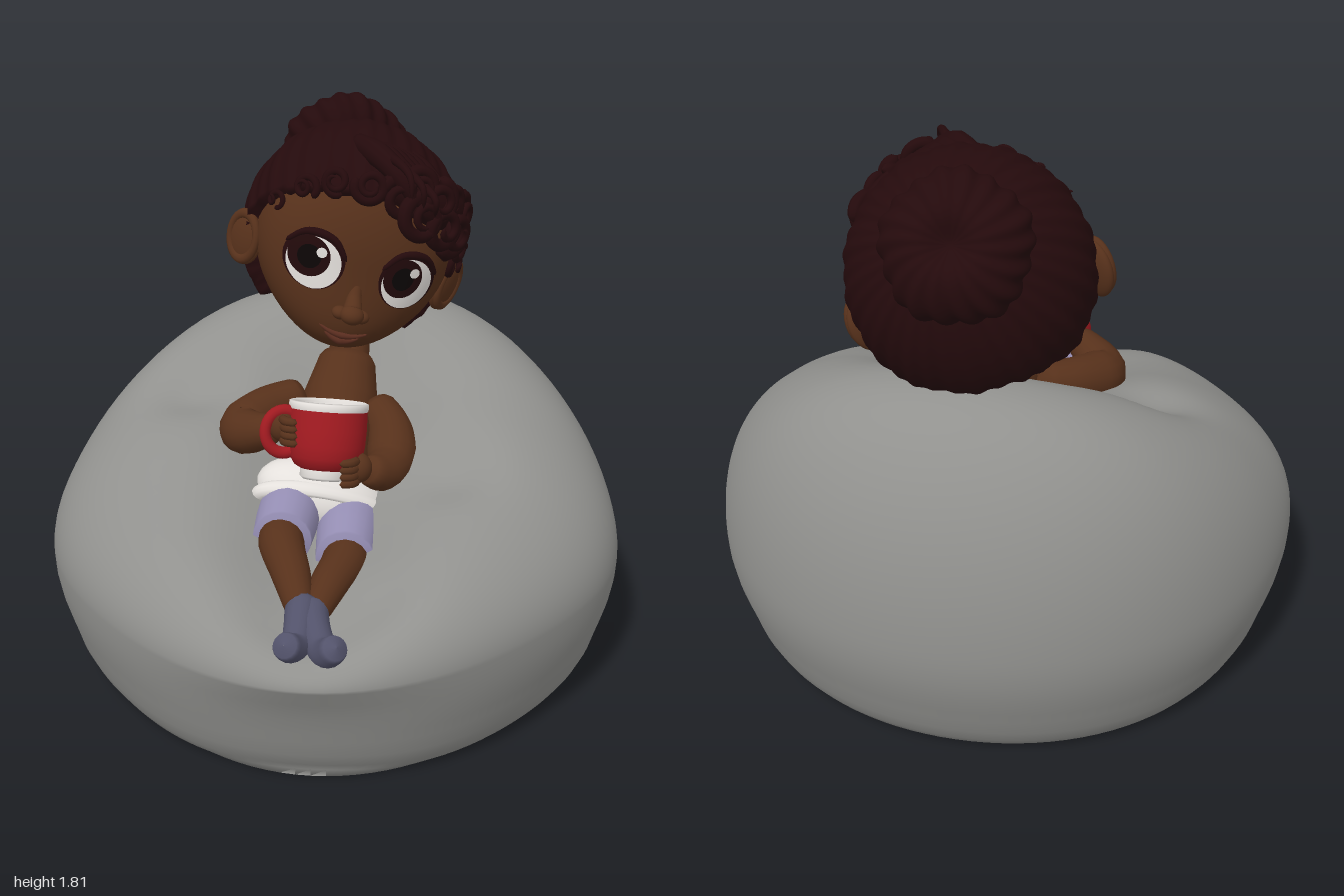
import * as THREE from 'three';
import { mergeVertices } from 'three/addons/utils/BufferGeometryUtils.js';

const mat = (name, color, side = THREE.FrontSide) => {
  const m = new THREE.MeshStandardMaterial({ color, side });
  m.name = name;
  return m;
};
const V = (x, y, z) => new THREE.Vector3(x, y, z);
const { lerp, smoothstep } = THREE.MathUtils;

// Piecewise linear lookup in a list of [position, value]
function lookup(table, t) {
  for (let i = 1; i < table.length; i++) {
    const [a, va] = table[i - 1], [b, vb] = table[i];
    if (t <= b) return lerp(va, vb, Math.max(0, (t - a) / (b - a)));
  }
  return table[table.length - 1][1];
}

// Move every vertex by a rule, then weld and smooth
function reshape(geo, rule) {
  geo.deleteAttribute('uv');
  geo.deleteAttribute('normal');
  const p = geo.attributes.position, v = V(0, 0, 0);
  for (let i = 0; i < p.count; i++) {
    v.fromBufferAttribute(p, i);
    rule(v);
    p.setXYZ(i, v.x, v.y, v.z);
  }
  const g = mergeVertices(geo, 1e-5);
  g.computeVertexNormals();
  return g;
}

function add(parent, name, geo, material, pos = [0, 0, 0], rot = [0, 0, 0], scale = [1, 1, 1]) {
  const m = new THREE.Mesh(geo, material);
  m.name = name;
  m.position.set(...pos);
  m.rotation.set(...rot);
  m.scale.set(...scale);
  parent.add(m);
  return m;
}

// Tapered tube with rounded ends through a few points
function limb(points, radii, n = 24, sides = 16, round = 0.15) {
  const curve = new THREE.CatmullRomCurve3(points.map(p => V(...p)));
  const geo = new THREE.TubeGeometry(curve, n, 1, sides);
  const p = geo.attributes.position, v = V(0, 0, 0);
  const table = radii.map((r, i) => [i / (radii.length - 1), r]);
  for (let i = 0; i <= n; i++) {
    const t = i / n, c = curve.getPointAt(t);
    const e = Math.max(0, (Math.abs(2 * t - 1) - 1 + round) / round);
    const r = lookup(table, t) * Math.sqrt(Math.max(1e-4, 1 - e * e));
    for (let j = 0; j <= sides; j++) {
      const k = i * (sides + 1) + j;
      v.fromBufferAttribute(p, k).sub(c).multiplyScalar(r).add(c);
      p.setXYZ(k, v.x, v.y, v.z);
    }
  }
  return reshape(geo, () => {});
}

// Beanbag: rings around the y axis, closed below and domed above with a seat trough and dents
function beanbagGeometry() {
  const top = [[-1, 1.32], [-0.65, 1.27], [-0.45, 1.14], [-0.3, 1.08], [-0.15, 0.99], [0, 0.92], [0.4, 0.8], [0.65, 0.78], [1, 0.72]];
  const dents = [[-0.5, -0.13, 0.08, 0.15], [0.4, 0.22, 0.06, 0.14], [0.22, 0.74, 0.03, 0.1]];
  const wall = [[0, 0.006], [0.5, 0.006], [0.85, 0.01], [0.885, 0.026], [0.91, 0.06], [0.935, 0.11], [0.953, 0.17],
    [0.966, 0.21], [0.984, 0.27], [0.997, 0.34]];
  const mid = 0.4, domeRings = 44, n = 112, pos = [], idx = [];
  const total = wall.length + domeRings + 1;
  for (let i = 0; i < total; i++) {
    for (let j = 0; j < n; j++) {
      const a = (j / n) * Math.PI * 2, near = Math.min(a, Math.PI * 2 - a);
      const diag = Math.sin(2 * a) ** 2;
      const R = 0.985 + 0.015 * Math.cos(2 * a) + (Math.cos(a) > 0 ? -0.055 : 0.015) * diag;
      let s, y;
      if (i < wall.length) {
        [s, y] = wall[i];
        if (i > 2) s -= 0.045 * Math.exp(-((near / 0.4) ** 2)) * (1 - smoothstep(y, 0.3, 0.4));
      } else {
        s = Math.cos(((i - wall.length) / domeRings) * Math.PI / 2);
        const x = R * s * Math.sin(a), z = R * s * Math.cos(a);
        let h = 0;
        for (let k = -2; k <= 2; k++) h += lookup(top, z + k * 0.06) / 5;
        const width = 0.31 - 0.08 * smoothstep(z, 0.5, 0.95);
        h -= 0.23 * Math.exp(-((x / width) ** 2)) * smoothstep(z, -0.5, -0.1) * (1 - 0.3 * smoothstep(z, 0.8, 1));
        for (const [dx, dz, depth, r] of dents) h -= depth * Math.exp(-((x - dx) ** 2 + (z - dz) ** 2) / (r * r));
        y = mid + (h - mid) * Math.sqrt(Math.max(0, 1 - s ** 2.85));
      }
      pos.push(R * s * Math.sin(a), y, R * s * Math.cos(a));
      if (i < total - 1) {
        const b = i * n + j, c = i * n + (j + 1) % n;
        idx.push(b, c, c + n, b, c + n, b + n);
      }
    }
  }
  const g = new THREE.BufferGeometry();
  g.setAttribute('position', new THREE.Float32BufferAttribute(pos, 3));
  g.setIndex(idx);
  g.computeVertexNormals();
  return g;
}

// Skull rule: flat face and full jaw
const jaw = y => 1 - 0.14 * Math.min(y, 0) ** 2;
const faceDepth = (y, z) => 0.33 * z ** 0.7 * (1 + 0.48 * Math.min(y, 0) ** 2);
function faceZ(X, Y) {
  const y = Y / 0.36, x = X / (0.34 * jaw(y));
  return faceDepth(y, Math.sqrt(Math.max(0, 1 - x * x - y * y)));
}
// Thin oval laid on the face
const facePatch = (cx, cy, rx, ry, lift) => reshape(new THREE.RingGeometry(0.001, 1, 32, 6), v => {
  v.x = cx + v.x * rx;
  v.y = cy + v.y * ry;
  v.z = faceZ(v.x, v.y) + lift;
});

export function createModel() {
  const root = new THREE.Group();
  root.name = 'childOnBeanbag';
  const gray = mat('beanbagGray', 0x91918e), skin = mat('skinBrown', 0x57311b), hair = mat('hairDark', 0x240a0c);
  const red = mat('mugRed', 0xa01a20, THREE.DoubleSide), white = mat('white', 0xe4e0dc, THREE.DoubleSide);
  const lavender = mat('shortsLavender', 0x9790b6), sock = mat('sockSlate', 0x52526a);
  const iris = mat('irisAndCocoa', 0x220a0b), black = mat('pupilBlack', 0x0c0606), lip = mat('lipBrown', 0x5c2e20);
  const ball = new THREE.SphereGeometry(1, 32, 24);

  add(root, 'beanbag', beanbagGeometry(), gray);

  // Body
  const body = new THREE.Group();
  body.name = 'body';
  root.add(body);
  add(body, 'torso', limb([[0.03, 1.0, -0.23], [0.01, 0.86, -0.11], [0, 0.75, 0.05], [-0.01, 0.65, 0.2]], [0.09, 0.13, 0.125, 0.13]), skin);
  add(body, 'neck', limb([[0.02, 0.9, -0.17], [0.03, 1.0, -0.25], [0.03, 1.14, -0.32]], [0.08, 0.068, 0.07]), skin);
  add(body, 'waistband', ball, white, [-0.025, 0.65, 0.21], [0.2, 0, -0.28], [0.22, 0.115, 0.13]);
  add(body, 'waistHem', new THREE.TorusGeometry(0.165, 0.028, 12, 40), white, [-0.025, 0.635, 0.255], [0.6, 0, -0.28], [1.2, 0.55, 1]);

  // Legs: left and right differ a little in pose
  const legs = [
    { hip: [-0.12, 0.63, 0.24], knee: [-0.125, 0.62, 0.49], ankle: [-0.035, 0.525, 0.76], heel: [-0.04, 0.475, 0.87], toe: [-0.065, 0.53, 0.95] },
    { hip: [0.07, 0.58, 0.24], knee: [0.075, 0.565, 0.5], ankle: [0.0, 0.515, 0.76], heel: [0.045, 0.475, 0.89], toe: [0.09, 0.54, 0.965] },
  ];
  legs.forEach(l => {
    const m = V(...l.hip).lerp(V(...l.knee), 0.5).toArray();
    add(body, 'shortsLeg', limb([l.hip, m, l.knee], [0.105, 0.1, 0.092], 20, 20, 0.05), lavender);
    const shin = V(...l.knee).lerp(V(...l.ankle), 0.5).add(V(0, 0.01, 0)).toArray();
    add(body, 'leg', limb([m, l.knee, shin, l.ankle], [0.07, 0.072, 0.06, 0.042]), skin);
    add(body, 'sock', limb([V(...l.ankle).add(V(0, 0.012, -0.05)).toArray(), l.ankle, l.heel, l.toe], [0.052, 0.047, 0.047, 0.04]), sock);
  });

  // Arms and hands
  const arms = [
    { pts: [[-0.11, 0.88, -0.09], [-0.23, 0.86, 0.0], [-0.295, 0.835, 0.12], [-0.23, 0.865, 0.2], [-0.16, 0.9, 0.24]], hand: [-0.145, 0.91, 0.255], s: -1 },
    { pts: [[0.12, 0.86, -0.09], [0.185, 0.8, 0.0], [0.195, 0.73, 0.12], [0.16, 0.74, 0.21], [0.12, 0.775, 0.26]], hand: [0.1, 0.785, 0.28], s: 1 },
  ];
  arms.forEach(({ pts, hand, s }) => {
    add(body, 'arm', limb(pts, [0.065, 0.075, 0.086, 0.07, 0.045]), skin);
    add(body, 'hand', ball, skin, hand, [0, 0, 0], [0.045, 0.05, 0.045]);
    for (let i = 0; i < 4; i++) {
      const y = hand[1] + 0.036 - i * 0.024;
      add(body, 'finger', limb([[hand[0], y, hand[2] + 0.02], [hand[0] - s * 0.02, y + 0.004, hand[2] + 0.055], [hand[0] - s * 0.055, y + 0.006, hand[2] + 0.07]],
        [0.015, 0.015, 0.012], 8, 8, 0.3), skin);
    }
  });

  // Mug leaning towards the chest
  const mug = new THREE.Group();
  mug.name = 'mug';
  mug.position.set(-0.01, 0.75, 0.27);
  mug.rotation.set(-0.32, 0, -0.04);
  root.add(mug);
  const lathe = pts => new THREE.LatheGeometry(pts.map(p => new THREE.Vector2(...p)), 40);
  add(mug, 'mugFoot', lathe([[0, -0.012], [0.072, -0.012], [0.08, -0.004], [0.08, 0.022]]), white);
  add(mug, 'mugWall', lathe([[0.078, 0.02], [0.1, 0.032], [0.118, 0.06], [0.125, 0.1], [0.127, 0.15], [0.126, 0.215]]), red);
  add(mug, 'mugRim', lathe([[0.126, 0.212], [0.129, 0.222], [0.128, 0.236], [0.121, 0.239], [0.116, 0.23], [0.112, 0.16]]), white);
  add(mug, 'cocoa', new THREE.CircleGeometry(0.114, 40), iris, [0, 0.185, 0], [-Math.PI / 2, 0, 0]);
  add(mug, 'mugHandle', new THREE.TorusGeometry(0.062, 0.018, 12, 32), red, [-0.135, 0.135, 0.045], [0, 0.35, 0], [1, 1.1, 1]);

  // Head, tilted and turned
  const head = new THREE.Group();
  head.name = 'head';
  head.position.set(0.03, 1.38, -0.36);
  head.rotation.set(0, 0.2, -0.28, 'ZYX');
  root.add(head);
  add(head, 'skull', reshape(new THREE.SphereGeometry(1, 56, 40), v => {
    v.set(0.34 * v.x * jaw(v.y), 0.36 * v.y, v.z > 0 ? faceDepth(v.y, v.z) : 0.33 * v.z);
  }), skin);
  add(head, 'noseBridge', limb([[0, -0.06, 0.305], [0, -0.115, 0.33], [0, -0.155, 0.365]], [0.018, 0.024, 0.034]), skin);
  add(head, 'noseTip', ball, skin, [0, -0.16, 0.375], [0, 0, 0], [0.04, 0.032, 0.038]);
  for (const s of [-1, 1]) {
    add(head, 'nostril', ball, skin, [s * 0.036, -0.168, 0.352], [0, 0, 0], [0.028, 0.022, 0.028]);
    // Eyes: stacked thin ovals, looking up to one side
    const ex = s * 0.16, ey = -0.035;
    add(head, 'lashes', facePatch(ex, ey + 0.008, 0.1, 0.098, 0.006), hair);
    add(head, 'eyeWhite', facePatch(ex, ey, 0.089, 0.087, 0.01), white);
    add(head, 'iris', facePatch(ex - 0.02, ey + 0.018, 0.068, 0.068, 0.014), iris);
    add(head, 'pupil', facePatch(ex - 0.02, ey + 0.018, 0.038, 0.04, 0.018), black);
    add(head, 'eyeGlint', facePatch(ex + 0.014, ey + 0.044, 0.017, 0.017, 0.022), white);
    add(head, 'eyelid', limb([-1, -0.5, 0, 0.5, 1].map(t => {
      const x = ex + t * 0.1, y = ey + 0.015 + 0.086 * Math.sqrt(1 - 0.95 * t * t);
      return [x, y, faceZ(x, y) + 0.008];
    }), [0.008, 0.014, 0.008], 20, 8), hair);
    // Ears
    add(head, 'ear', ball, skin, [s * 0.36, -0.09, 0.04], [0, s * 0.85, -s * 0.15], [0.075, 0.095, 0.03]);
    add(head, 'earRim', new THREE.TorusGeometry(0.06, 0.014, 10, 28), skin, [s * 0.37, -0.085, 0.052], [0, s * 0.85, -s * 0.15], [1, 1.3, 1]);
  }
  const lipCurve = (y, w, r) => limb([-1, -0.5, 0, 0.5, 1].map(t => {
    const Y = y + 0.02 * t * t;
    return [t * w, Y, faceZ(t * w, Y)];
  }), [0.004, r, 0.004], 20, 10);
  add(head, 'upperLip', lipCurve(-0.257, 0.085, 0.012), lip);
  add(head, 'lowerLip', lipCurve(-0.279, 0.06, 0.016), lip);

  // Hair drawn back to the bun, sunk under the skin in front of the hairline
  add(head, 'hairCap', reshape(new THREE.SphereGeometry(1, 210, 60), v => {
    const a = Math.atan2(v.x, v.z), strand = (0.008 * Math.cos(35 * a) + 0.007 * Math.cos(14 * a + 2)) * Math.hypot(v.x, v.z);
    v.applyAxisAngle(V(1, 0, 0), -0.98);
    v.multiply(V(0.38, 0.39, 0.362));
    const y = Math.max(0, v.y), edge = 0.08 + 0.6 * y + 2.2 * y * y;
    const w = smoothstep(edge - v.z, -0.012, 0.012) * smoothstep(v.y, -0.32, -0.27);
    v.multiplyScalar(lerp(0.75, 1 + strand, w));
  }), hair);
  // Bun with twisted strands
  add(head, 'bun', reshape(new THREE.SphereGeometry(1, 128, 40), v => {
    const rad = Math.hypot(v.x, v.z), a = Math.atan2(v.x, v.z);
    v.multiplyScalar(1 + 0.03 * rad * Math.cos(18 * a + 4 * v.y) + 0.03 * rad * Math.cos(5 * a + 1));
    v.y *= 1 - 0.4 * Math.exp(-((rad / 0.3) ** 2));
    v.multiply(V(0.215, 0.135, 0.215));
  }), hair, [-0.045, 0.205, -0.33], [-1.15, 0, 0]);

  // Fringe: soft base, spiral curls, swept locks and loose wisps
  add(head, 'fringeBase', ball, hair, [0.17, 0.23, 0.21], [0, 0.5, -0.3], [0.17, 0.085, 0.09]);
  const curls = [[0.05, 0.24, 0.31, 0.07], [0.13, 0.2, 0.33, 0.075], [0.21, 0.18, 0.3, 0.07], [0.265, 0.15, 0.25, 0.07],
    [0.3, 0.09, 0.19, 0.055], [0.28, 0.2, 0.17, 0.07], [0.17, 0.26, 0.3, 0.07], [-0.05, 0.255, 0.3, 0.055], [-0.15, 0.235, 0.27, 0.045],
    [-0.23, 0.18, 0.22, 0.04], [0.1, 0.29, 0.31, 0.06], [0.22, 0.25, 0.22, 0.07], [0.325, 0.02, 0.13, 0.045], [-0.3, 0.1, 0.16, 0.03]];
  curls.forEach(([x, y, z, r], k) => {
    const pts = [], dir = k % 2 ? 1 : -1;
    for (let i = 0; i <= 12; i++) {
      const a = i * 0.85 + k * 1.3, q = r * (1 - 0.055 * i);
      pts.push([dir * q * Math.cos(a), q * Math.sin(a), 0.004 * i]);
    }
    add(head, 'curl', limb(pts, [r * 0.34, r * 0.3, r * 0.14], 40, 8), hair, [x, y, z], [-0.2, Math.atan2(x, z) * 0.9, 0]);
  });
  for (let i = 0; i < 6; i++) {
    const x = i * 0.034;
    add(head, 'sweptLock', limb([[x - 0.1, 0.335, 0.08], [x - 0.02, 0.335 - i * 0.008, 0.24 - i * 0.01], [x + 0.06, 0.29 - i * 0.01, 0.33 - i * 0.02], [x + 0.11, 0.21, 0.32 - i * 0.025]],
      [0.03, 0.042, 0.036, 0.01], 20, 10), hair);
  }
  for (let i = 0; i < 3; i++) {
    const x = 0.03 + i * 0.05, d = 0.025 * i;
    add(head, 'wisp', limb([[x - 0.05, 0.33, 0.18], [x - 0.02, 0.355 - d, 0.32], [x + 0.01, 0.34 - d, 0.42], [x + 0.03, 0.28 - d, 0.44 - d]],
      [0.02, 0.017, 0.013, 0.006], 18, 8), hair);
  }
  return root;
}
